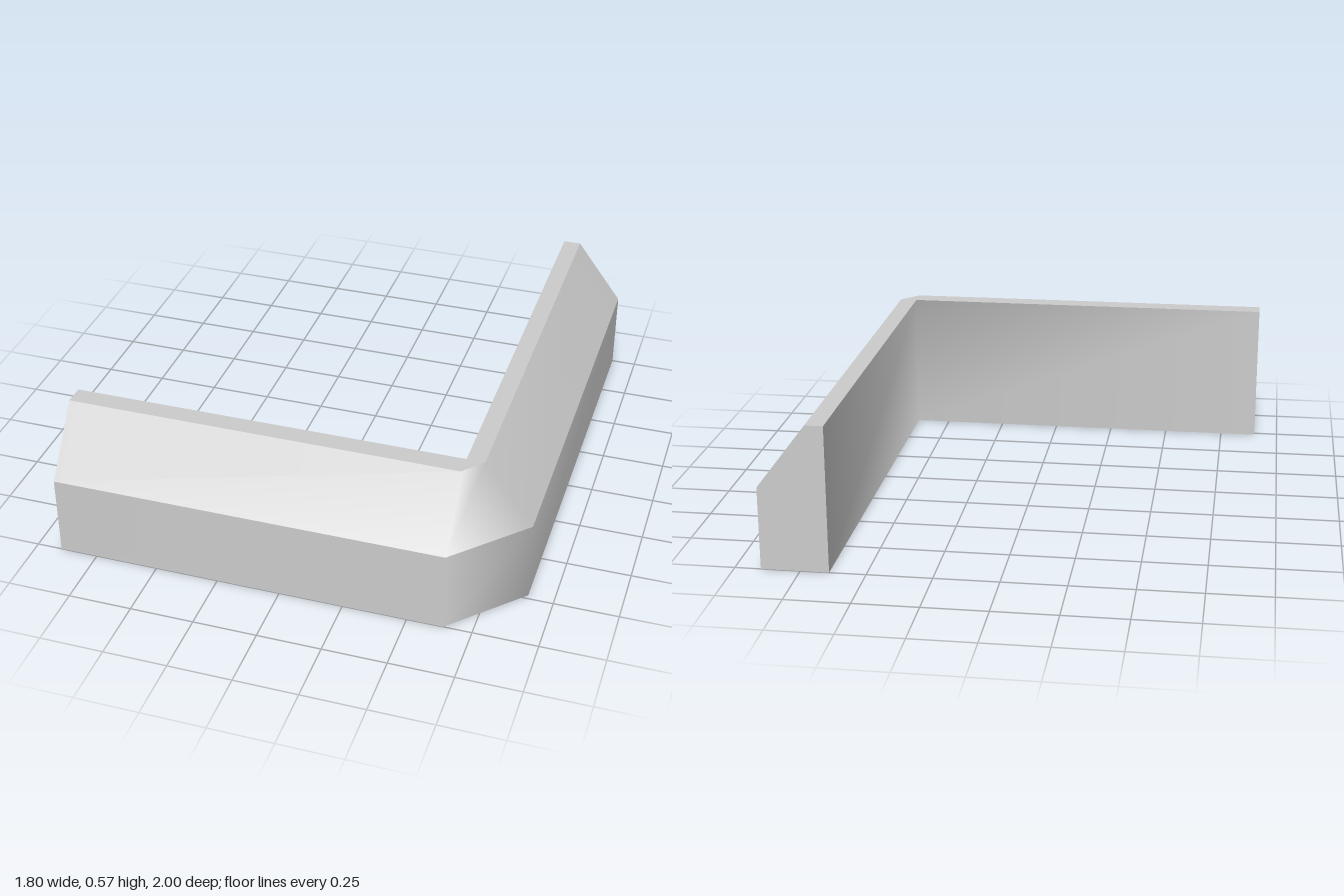
import * as THREE from 'three';
import { mergeVertices } from 'three/addons/utils/BufferGeometryUtils.js';

export function createModel() {
  const group = new THREE.Group();
  group.name = 'cornerCurb';
  const concrete = new THREE.MeshStandardMaterial({ color: 0xcccccc, side: THREE.DoubleSide });
  concrete.name = 'concreteGrey';

  // Plan line of the L with a chamfered corner; c = chamfer start, f = face position (0 = outermost)
  const rail = (y, xFace, zFace, xBend, zBend) => [
    [-0.9, y, zFace], [xBend, y, zFace], [xFace, y, zBend], [xFace, y, -1],
  ].map((p) => new THREE.Vector3(...p));

  // Rails in order around the cross-section
  const outerBottom = rail(0, 0.9, 1, 0.64, 0.73);
  const shoulder = rail(0.325, 0.9, 1, 0.64, 0.73);
  const ridge = rail(0.575, 0.71, 0.81, 0.64, 0.73);
  const innerTop = rail(0.575, 0.64, 0.73, 0.64, 0.73);
  const innerBottom = rail(0, 0.64, 0.73, 0.64, 0.73);
  const rails = [outerBottom, shoulder, ridge, innerTop, innerBottom];

  function addMesh(name, triangles) {
    // Drop empty triangles where the inner corner is a single point
    const solid = triangles.filter((t) => new THREE.Triangle(...t).getArea() > 1e-6);
    const geometry = mergeVertices(new THREE.BufferGeometry().setFromPoints(solid.flat()));
    geometry.computeVertexNormals();
    const mesh = new THREE.Mesh(geometry, concrete);
    mesh.name = name;
    group.add(mesh);
  }

  // Each face runs smoothly along the bend, with sharp edges between faces
  ['outerWall', 'slopedFace', 'topFace', 'innerWall'].forEach((name, k) => {
    const a = rails[k], b = rails[k + 1], triangles = [];
    for (let i = 0; i < 3; i++) {
      triangles.push([a[i], a[i + 1], b[i + 1]], [a[i], b[i + 1], b[i]]);
    }
    addMesh(name, triangles);
  });

  // End caps; the underside stays open
  const cap = (points) => [1, 2, 3].map((i) => [points[0], points[i], points[i + 1]]);
  addMesh('rightEndCap', cap(rails.map((r) => r[0])));
  addMesh('backEndCap', cap(rails.map((r) => r[3]).reverse()));

  return group;
}
